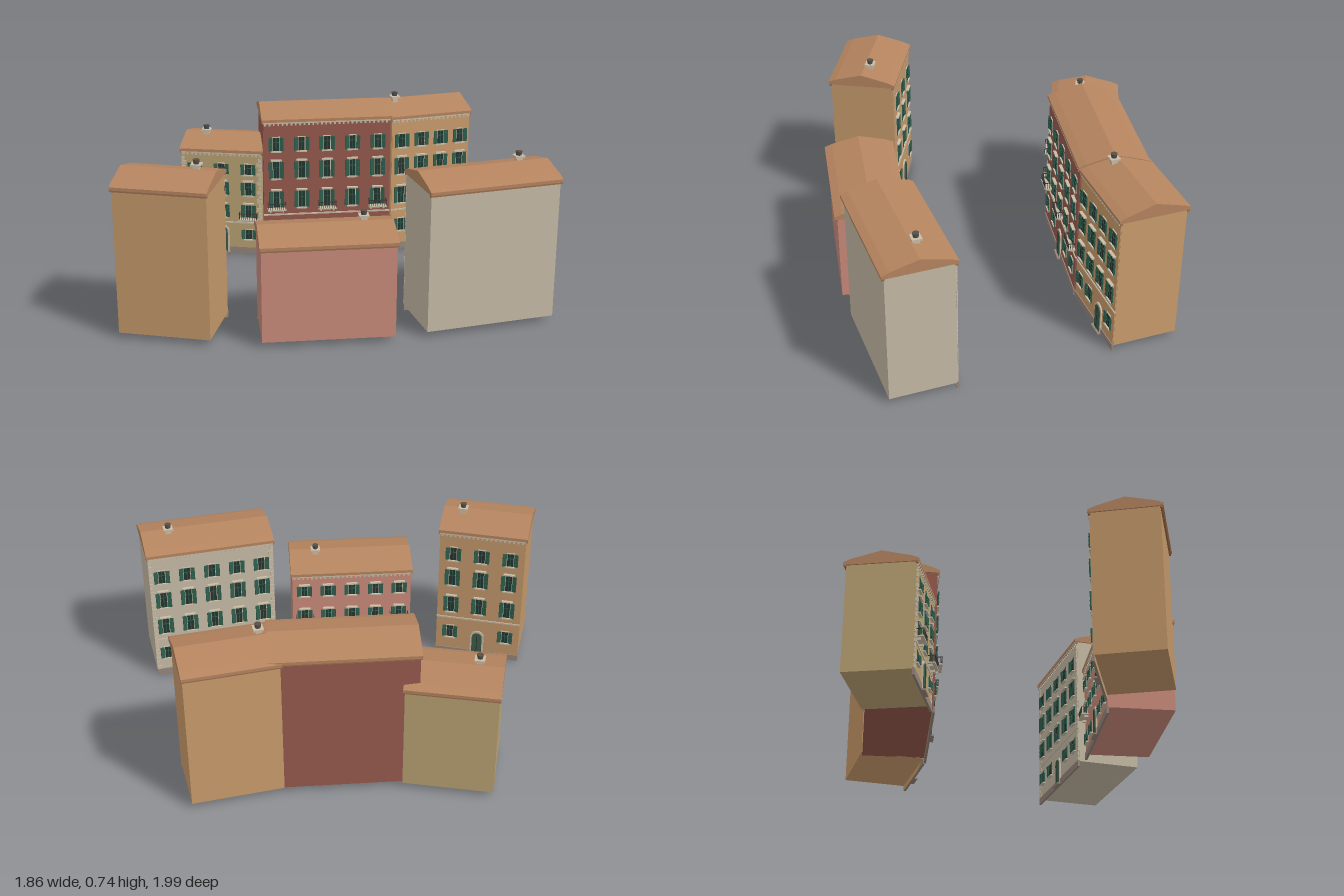
import * as THREE from 'three';

const mat = (color) => new THREE.MeshStandardMaterial({ color });
const M = {
  roof: mat(0xb5845f), roofEdge: mat(0x9c6e50), stone: mat(0xc9bca6), plinth: mat(0x95857a),
  shutter: mat(0x2f5f4e), pane: mat(0x24352f), iron: mat(0x3a3835), door: mat(0x3f5a49), pot: mat(0x55504a),
};
const unitBox = new THREE.BoxGeometry(1, 1, 1);

function box(parent, name, material, w, h, d, x, y, z) {
  const m = new THREE.Mesh(unitBox, material);
  m.name = name;
  m.scale.set(w, h, d);
  m.position.set(x, y, z);
  parent.add(m);
  return m;
}

function extrude(points, depth) {
  const s = new THREE.Shape(points.map(([x, y]) => new THREE.Vector2(x, y)));
  return new THREE.ExtrudeGeometry(s, { depth, bevelEnabled: false });
}

// Arched opening outline, centred on x, standing on y = 0
function archGeometry(w, h, depth) {
  const s = new THREE.Shape();
  s.moveTo(-w / 2, 0);
  s.lineTo(w / 2, 0);
  s.lineTo(w / 2, h - w / 2);
  s.absarc(0, h - w / 2, w / 2, 0, Math.PI, false);
  s.closePath();
  return new THREE.ExtrudeGeometry(s, { depth, bevelEnabled: false, curveSegments: 6 });
}

// Window with stone surround, sill, mullions and a pair of open shutters
function addWindow(parent, x, y, h, z, pediment) {
  const g = new THREE.Group();
  g.name = 'window';
  g.position.set(x, y, z);
  parent.add(g);
  box(g, 'windowFrame', M.stone, 0.036, h + 0.008, 0.006, 0, 0, 0.001);
  box(g, 'windowPane', M.pane, 0.028, h, 0.006, 0, 0, 0.002);
  box(g, 'mullion', M.shutter, 0.003, h, 0.007, 0, 0, 0.0025);
  box(g, 'mullion', M.shutter, 0.028, 0.003, 0.007, 0, h * 0.15, 0.0025);
  box(g, 'windowSill', M.stone, 0.048, 0.006, 0.014, 0, -h / 2 - 0.004, 0.004);
  if (pediment) box(g, 'windowHood', M.stone, 0.05, 0.006, 0.016, 0, h / 2 + 0.008, 0.005);
  for (const s of [-1, 1]) {
    const shutter = new THREE.Group();
    shutter.name = 'shutter';
    shutter.position.set(s * 0.016, 0, 0.004);
    shutter.rotation.y = -s * 0.22;
    g.add(shutter);
    box(shutter, 'shutterLeaf', M.shutter, 0.018, h, 0.004, s * 0.01, 0, 0);
    for (let i = -1; i <= 1; i++)
      box(shutter, 'shutterSlat', M.shutter, 0.014, 0.003, 0.006, s * 0.01, i * h * 0.28, 0.001);
  }
}

// Balcony slab on brackets with an iron railing
function addBalcony(parent, x, y, z) {
  const g = new THREE.Group();
  g.name = 'balcony';
  g.position.set(x, y, z);
  parent.add(g);
  const w = 0.085, d = 0.032, h = 0.032;
  box(g, 'balconySlab', M.stone, w, 0.006, d, 0, 0, d / 2);
  for (const s of [-1, 1]) {
    box(g, 'balconyBracket', M.stone, 0.007, 0.012, 0.018, s * w * 0.35, -0.008, 0.009);
    box(g, 'sideRail', M.iron, 0.003, 0.003, d, s * (w / 2 - 0.002), h, d / 2);
    for (let i = 1; i < 3; i++)
      box(g, 'railBar', M.iron, 0.002, h, 0.002, s * (w / 2 - 0.002), h / 2, d * i / 3);
  }
  box(g, 'frontRail', M.iron, w, 0.003, 0.003, 0, h, d - 0.002);
  for (let i = 0; i <= 8; i++)
    box(g, 'railBar', M.iron, 0.002, h, 0.002, (i / 8 - 0.5) * (w - 0.004), h / 2, d - 0.002);
}

function addDoor(parent, x, z) {
  const surround = new THREE.Mesh(archGeometry(0.062, 0.135, 0.006), M.stone);
  const leaf = new THREE.Mesh(archGeometry(0.046, 0.125, 0.009), M.door);
  surround.name = 'doorSurround';
  leaf.name = 'door';
  for (const m of [surround, leaf]) {
    m.position.set(x, 0.004, z);
    parent.add(m);
  }
  box(parent, 'doorMullion', M.pane, 0.003, 0.12, 0.004, x, 0.062, z + 0.009);
  box(parent, 'doorStep', M.plinth, 0.07, 0.008, 0.02, x, 0.004, z + 0.008);
}

// Square stack with flared cap and round pot
function addChimney(parent, x, z, top) {
  const g = new THREE.Group();
  g.name = 'chimney';
  g.position.set(x, top, z);
  parent.add(g);
  box(g, 'chimneyStack', M.stone, 0.026, 0.06, 0.026, 0, -0.05, 0);
  box(g, 'chimneyCap', M.stone, 0.042, 0.008, 0.042, 0, -0.022, 0);
  const pot = new THREE.Mesh(new THREE.CylinderGeometry(0.014, 0.011, 0.02, 10), M.pot);
  pot.name = 'chimneyPot';
  pot.position.y = -0.01;
  g.add(pot);
}

function building(b) {
  const g = new THREE.Group();
  g.name = b.name;
  const angle = Math.atan2(b.n[0], b.n[1]);
  g.position.set(b.c[0], 0, b.c[1]);
  g.rotation.y = angle;
  const wall = mat(b.color), { L, W, eave, ridge } = b;
  const over = 0.012, base = 0.025, w = L - 0.012, front = W / 2 - over;

  // Plain body and the facade sheet that reaches the ground
  box(g, 'walls', wall, w, eave - base, W - 2 * over, 0, (eave + base) / 2, 0);
  box(g, 'facade', wall, w - 0.004, eave - 0.004, 0.006, 0, eave / 2, front);
  const z = front + 0.003;
  box(g, 'plinth', M.plinth, w, 0.03, 0.01, 0, 0.015, z - 0.001);
  const k = eave / 0.645;
  if (b.rows.length > 3) box(g, 'stringCourse', M.stone, w, 0.007, 0.008, 0, 0.305 * eave, z);
  box(g, 'cornice', M.stone, w, 0.01, 0.014, 0, eave - 0.008, z);
  for (let x = -w / 2 + 0.01; x < w / 2; x += 0.02)
    box(g, 'corniceBlock', M.stone, 0.008, 0.01, 0.01, x, eave - 0.018, z);

  // Alternating corner stones
  if (b.quoins) for (const s of [-1, 1])
    for (let i = 0, y = 0.04; y < eave - 0.03; y += 0.022, i++) {
      const qw = i % 2 ? 0.014 : 0.022;
      box(g, 'cornerStone', M.stone, qw, 0.018, 0.004, s * (w / 2 - qw / 2), y, z + 0.001);
    }

  // Roof: gable section with a shallower strip at the eaves
  const e = eave - 0.006, half = [[W / 2, e], [W / 2, e + 0.013], [W / 2 - 0.032, e + 0.026]];
  const section = [...half, [0, ridge], ...half.map(([x, y]) => [-x, y]).reverse()];
  const roof = new THREE.Mesh(extrude(section, L), M.roof);
  roof.name = 'roof';
  roof.rotation.y = -Math.PI / 2;
  roof.position.x = L / 2;
  g.add(roof);
  for (const s of [-1, 1])
    box(g, 'eaveMoulding', M.roofEdge, L, 0.012, 0.01, 0, eave - 0.008, s * (W / 2 - 0.009));

  // Windows, door and balconies
  const pitch = w / b.cols, doorCol = Math.floor(b.cols / 2);
  const heights = b.rows.length > 3 ? [0.058, 0.078, 0.078, 0.062] : [0.075, 0.08, 0.075];
  b.rows.forEach((f, r) => {
    for (let c = 0; c < b.cols; c++) {
      const x = (c + 0.5) * pitch - w / 2;
      if (r === 0 && c === doorCol) addDoor(g, x, z);
      else addWindow(g, x, f * eave, heights[r] * k, z, r === 1 || r === 2);
    }
  });
  for (const [c, r] of b.balconies)
    addBalcony(g, (c + 0.5) * pitch - w / 2, b.rows[r] * eave - heights[r] * k / 2 - 0.006, z);

  // Chimney given in plan coordinates, turned into the building's own axes
  if (b.chimney) {
    const p = new THREE.Vector3(b.chimney[0] - b.c[0], 0, b.chimney[1] - b.c[1]);
    p.applyAxisAngle(new THREE.Vector3(0, 1, 0), -angle);
    addChimney(g, p.x, p.z, ridge + 0.035);
  }
  return g;
}

const FOUR = [0.19, 0.42, 0.64, 0.83], THREE_ROWS = [0.2, 0.5, 0.8];
// c: plan centre, n: direction the facade faces, L: length, W: depth
const BUILDINGS = [
  { name: 'ochreRowHouse', c: [-0.17, -0.76], n: [0.28, 0.12], L: 0.394, W: 0.305, eave: 0.645, ridge: 0.7,
    color: 0xc89b6b, cols: 4, rows: FOUR, balconies: [], chimney: [-0.2, -0.62] },
  { name: 'redRowHouse', c: [-0.395, -0.352], n: [0.25, 0.165], L: 0.6, W: 0.302, eave: 0.652, ridge: 0.705,
    color: 0x95594e, cols: 5, rows: FOUR, balconies: [[0, 1], [2, 1], [4, 1]] },
  { name: 'yellowRowHouse', c: [-0.69, -0.01], n: [0.21, 0.23], L: 0.385, W: 0.31, eave: 0.5, ridge: 0.55,
    color: 0xb9a172, cols: 3, rows: FOUR, quoins: true, balconies: [[0, 1], [2, 1]], chimney: [-0.74, 0.07] },
  { name: 'greyHouse', c: [0.675, -0.3], n: [-0.28, -0.12], L: 0.57, W: 0.305, eave: 0.625, ridge: 0.675,
    color: 0xc4b9a4, cols: 5, rows: FOUR, quoins: true, balconies: [], chimney: [0.72, -0.46] },
  { name: 'pinkHouse', c: [0.372, 0.285], n: [-0.255, -0.17], L: 0.555, W: 0.306, eave: 0.43, ridge: 0.48,
    color: 0xc98a7a, cols: 5, rows: THREE_ROWS, balconies: [[0, 1], [4, 1]], chimney: [0.44, 0.14] },
  { name: 'brownHouse', c: [-0.05, 0.748], n: [-0.19, -0.235], L: 0.397, W: 0.302, eave: 0.65, ridge: 0.7,
    color: 0xc2976a, cols: 3, rows: FOUR, balconies: [], chimney: [0.02, 0.66] },
];

export function createModel() {
  const root = new THREE.Group();
  root.name = 'townHouses';
  for (const b of BUILDINGS) root.add(building(b));
  return root;
}
